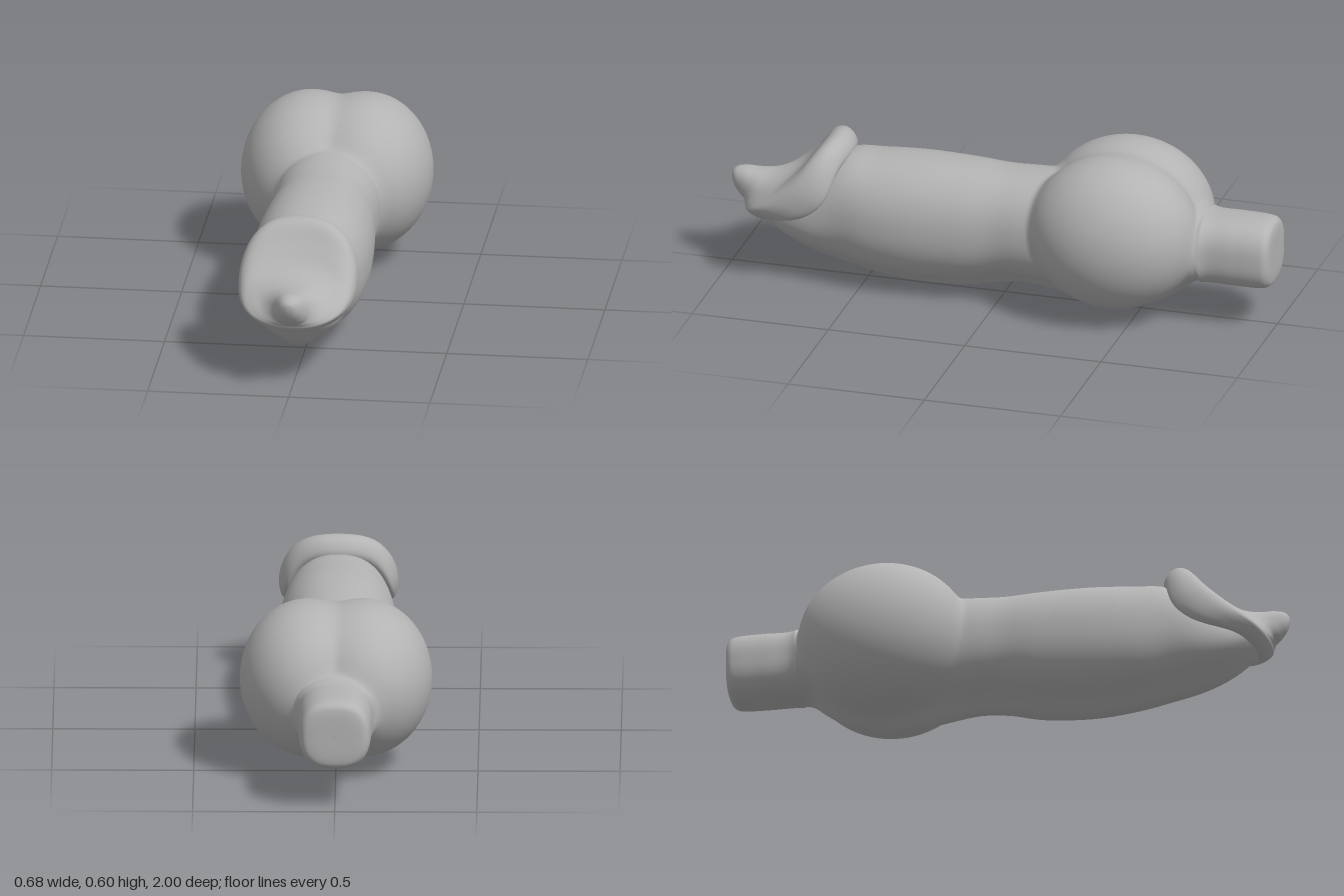
import * as THREE from 'three';

// Uniform Catmull-Rom through rows of numbers
function sampleRows(rows, t) {
  const f = t * (rows.length - 1);
  const i = Math.min(Math.floor(f), rows.length - 2);
  const u = f - i;
  const at = (k) => rows[Math.max(0, Math.min(rows.length - 1, k))];
  const [a, b, c, d] = [at(i - 1), at(i), at(i + 1), at(i + 2)];
  return b.map((p, k) => {
    const m0 = (c[k] - a[k]) / 2, m1 = (d[k] - p) / 2;
    return p + m0 * u + (3 * (c[k] - p) - 2 * m0 - m1) * u * u
      + (2 * (p - c[k]) + m0 + m1) * u * u * u;
  });
}

// Closed rings, ordered back to front, joined into one smooth skin
function loft(rows, rings, sides, pointAt) {
  const positions = [], indices = [];
  for (let i = 0; i <= rings; i++) {
    const row = sampleRows(rows, i / rings);
    for (let j = 0; j < sides; j++) {
      positions.push(...pointAt(row, (j / sides) * Math.PI * 2));
      if (i === rings) continue;
      const a = i * sides + j, b = i * sides + (j + 1) % sides;
      indices.push(a, a + sides, b, b, a + sides, b + sides);
    }
  }
  const geometry = new THREE.BufferGeometry();
  geometry.setAttribute('position', new THREE.Float32BufferAttribute(positions, 3));
  geometry.setIndex(indices);
  geometry.computeVertexNormals();
  return geometry;
}

const signedPow = (v, p) => Math.sign(v) * Math.abs(v) ** p;

function smoothMax(a, b, k) {
  const h = Math.max(k - Math.abs(a - b), 0) / k;
  return Math.max(a, b) + h * h * k / 4;
}

// Distance along a ray in a cross-section to the paired rear lobes
function lobeRadius(z, centreY, s, c) {
  const size2 = 1 - ((z + 0.43) / 0.305) ** 2;
  if (size2 <= 0) return 0;
  const rx2 = 0.24 ** 2 * size2, ry2 = 0.275 ** 2 * size2;
  const qx = 0.1, qy = 0.325 - centreY;
  const sx = Math.sqrt(s * s + 0.01);
  const A = sx * sx / rx2 + c * c / ry2;
  const B = sx * qx / rx2 + c * qy / ry2;
  const C = qx * qx / rx2 + qy * qy / ry2 - 1;
  const disc = B * B - A * C;
  return disc < 0 ? 0 : (B + Math.sqrt(disc)) / A;
}

// Core sections: z, half width, top, bottom, underside ridge depth
const bodyRows = [
  [-1.0, 0.001, 0.276, 0.274, 0],
  [-0.998, 0.085, 0.36, 0.19, 0],
  [-0.985, 0.115, 0.39, 0.16, 0],
  [-0.95, 0.125, 0.4, 0.15, 0],
  [-0.86, 0.13, 0.402, 0.15, 0],
  [-0.77, 0.134, 0.402, 0.152, 0],
  [-0.71, 0.165, 0.415, 0.15, 0.01],
  [-0.64, 0.185, 0.44, 0.115, 0.03],
  [-0.55, 0.19, 0.46, 0.08, 0.045],
  [-0.42, 0.19, 0.48, 0.055, 0.05],
  [-0.3, 0.19, 0.485, 0.065, 0.05],
  [-0.2, 0.19, 0.485, 0.08, 0.045],
  [-0.1, 0.188, 0.482, 0.092, 0.042],
  [0.0, 0.186, 0.48, 0.085, 0.042],
  [0.13, 0.2, 0.487, 0.058, 0.042],
  [0.3, 0.208, 0.49, 0.048, 0.04],
  [0.45, 0.2, 0.483, 0.06, 0.036],
  [0.58, 0.178, 0.47, 0.085, 0.033],
  [0.7, 0.16, 0.38, 0.115, 0.03],
  [0.8, 0.125, 0.32, 0.16, 0.025],
  [0.88, 0.075, 0.29, 0.22, 0.015],
  [0.93, 0.002, 0.272, 0.268, 0],
];

function bodyPoint([z, halfWidth, top, bottom, ridge], angle) {
  const s = Math.sin(angle), c = Math.cos(angle);
  const centreY = (top + bottom) / 2, h = Math.max((top - bottom) / 2, 0.001);
  const n = z < -0.74 ? 2.6 : 2.2;
  const core = (Math.abs(s / halfWidth) ** n + Math.abs(c / h) ** n) ** (-1 / n);
  const lobe = lobeRadius(z, centreY, s, c);
  const r = lobe > 0 ? smoothMax(core, lobe, 0.03) : core;
  const x = r * s;
  let y = centreY + r * c;
  if (c < 0) y -= ridge * Math.exp(-((x / 0.055) ** 2)) * Math.min(1, -c * 2);
  return [x, y, z];
}

// Slanted rings: top z, top y, bottom z, bottom y, half width, side shift z, y
const headRows = [
  [0.58, 0.43, 0.86, 0.25, 0.15, -0.04, -0.03],
  [0.555, 0.475, 0.87, 0.225, 0.185, -0.06, -0.05],
  [0.57, 0.515, 0.89, 0.21, 0.203, -0.06, -0.05],
  [0.605, 0.535, 0.91, 0.215, 0.21, -0.055, -0.04],
  [0.645, 0.52, 0.925, 0.225, 0.205, -0.03, -0.03],
  [0.69, 0.46, 0.935, 0.235, 0.185, 0, -0.02],
  [0.75, 0.395, 0.94, 0.245, 0.15, 0, 0],
  [0.83, 0.365, 0.945, 0.25, 0.105, 0, 0],
  [0.9, 0.363, 0.95, 0.255, 0.07, 0, 0],
  [0.945, 0.367, 0.965, 0.265, 0.052, 0, 0],
  [0.98, 0.362, 0.985, 0.29, 0.036, 0, 0],
  [0.998, 0.347, 0.996, 0.313, 0.016, 0, 0],
  [1.0, 0.331, 1.0, 0.329, 0.001, 0, 0],
];

function headPoint([topZ, topY, bottomZ, bottomY, halfWidth, shiftZ, shiftY], angle) {
  const s = signedPow(Math.sin(angle), 0.88), c = signedPow(Math.cos(angle), 0.88);
  const side = Math.sin(angle) ** 4;
  return [
    halfWidth * s,
    (topY + bottomY) / 2 + c * (topY - bottomY) / 2 + shiftY * side,
    (topZ + bottomZ) / 2 + c * (topZ - bottomZ) / 2 + shiftZ * side,
  ];
}

export function createModel() {
  const model = new THREE.Group();
  model.name = 'model';
  const grey = new THREE.MeshStandardMaterial({ color: 0xb3b3b3 });
  grey.name = 'grey';

  // Shaft, rear lobes and end plug in one skin
  const body = new THREE.Mesh(loft(bodyRows, 210, 128, bodyPoint), grey);
  body.name = 'body';

  // Flared, slanted front cap with a small tip
  const cap = new THREE.Mesh(loft(headRows, 72, 96, headPoint), grey);
  cap.name = 'frontCap';

  model.add(body, cap);
  return model;
}
